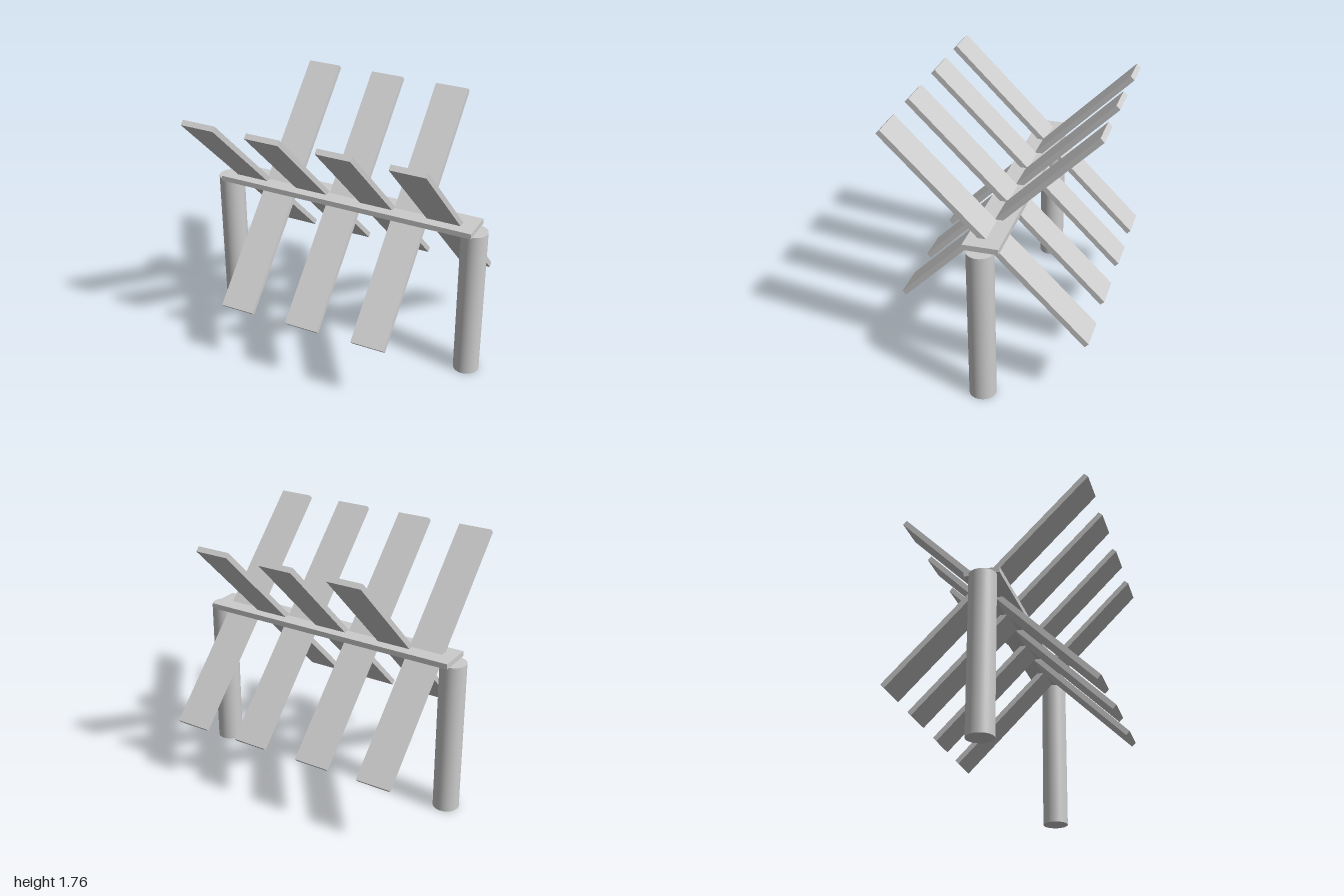
import * as THREE from 'three';

export function createModel() {
  const model = new THREE.Group();
  const grey = new THREE.MeshStandardMaterial({ color: 0xcccccc });
  grey.name = 'plain grey';

  const add = (name, geometry, x, y, z = 0) => {
    const mesh = new THREE.Mesh(geometry, grey);
    mesh.name = name;
    mesh.position.set(x, y, z);
    model.add(mesh);
    return mesh;
  };

  const legHeight = 1.07, boardThickness = 0.037;
  const axisY = legHeight + boardThickness / 2;

  // Two round posts carrying the cross board
  const legGeometry = new THREE.CylinderGeometry(0.0885, 0.0885, legHeight, 32);
  add('leftLeg', legGeometry, 0.9115, legHeight / 2, 0.004);
  add('rightLeg', legGeometry, -0.9115, legHeight / 2, 0.004);
  add('crossBoard', new THREE.BoxGeometry(1.85, boardThickness, 0.231), 0, axisY);

  // Seven slats through the board, tilted alternately forwards and backwards
  const slatGeometry = new THREE.BoxGeometry(0.234, 0.037, 1.85);
  [-0.717, -0.501, -0.257, -0.014, 0.23, 0.466, 0.71].forEach((x, i) => {
    const slat = add(`slat${i + 1}`, slatGeometry, x, axisY);
    slat.rotation.x = (i % 2 === 0 ? -1 : 1) * Math.PI / 4;
  });

  return model;
}
